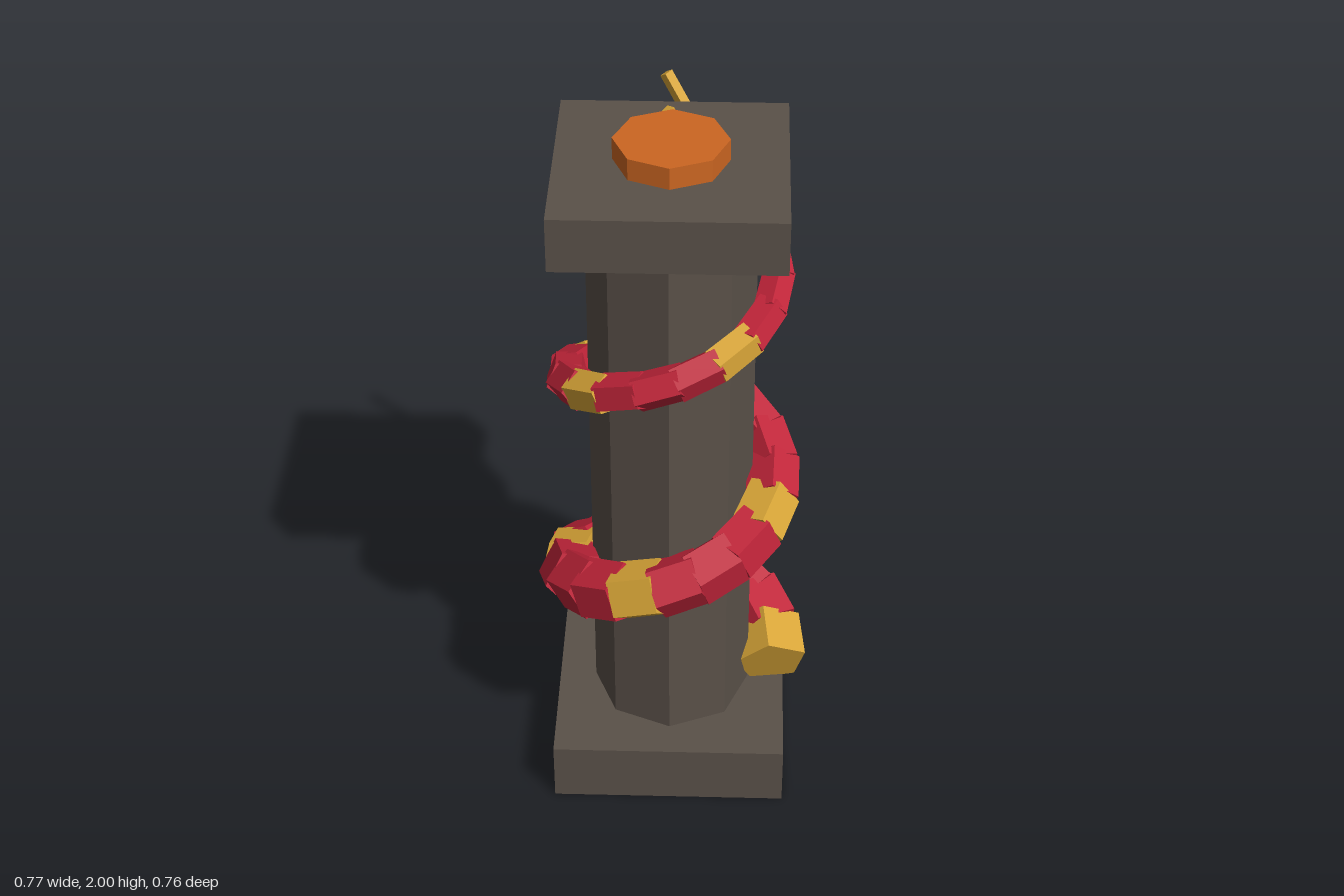
import * as THREE from 'three';

const flat = (name, color) => {
  const m = new THREE.MeshStandardMaterial({ color });
  m.name = name;
  return m;
};

export function createModel() {
  const stone = flat('dark stone', 0x5a5149);
  const crimson = flat('crimson scales', 0xc02439);
  const gold = flat('gold', 0xd8a537);
  const ember = flat('ember orange', 0xcc6622);

  const model = new THREE.Group();
  model.name = 'serpentPillar';
  const UP = new THREE.Vector3(0, 1, 0);
  const CX = -0.01, CZ = 0.01; // pillar axis

  const add = (parent, name, geometry, material, x, y, z) => {
    const g = geometry.index ? geometry.toNonIndexed() : geometry;
    g.computeVertexNormals(); // faceted
    const mesh = new THREE.Mesh(g, material);
    mesh.name = name;
    mesh.position.set(x, y, z);
    parent.add(mesh);
    return mesh;
  };

  // Straight faceted rod from a to b
  const rod = (parent, name, a, b, r0, r1, sides, material, stretch = 1) => {
    const dir = b.clone().sub(a);
    const geo = new THREE.CylinderGeometry(r1, r0, dir.length() * stretch, sides);
    const mid = a.clone().lerp(b, 0.5);
    const mesh = add(parent, name, geo, material, mid.x, mid.y, mid.z);
    mesh.quaternion.setFromUnitVectors(UP, dir.normalize());
    return mesh;
  };

  // Pillar
  add(model, 'base', new THREE.BoxGeometry(0.66, 0.18, 0.66), stone, CX, 0.09, CZ);
  add(model, 'column', new THREE.CylinderGeometry(0.225, 0.225, 1.63, 8), stone, CX, 0.985, CZ);
  add(model, 'capital', new THREE.BoxGeometry(0.6, 0.15, 0.6), stone, CX, 1.865, CZ);
  add(model, 'emberDisc', new THREE.CylinderGeometry(0.15, 0.15, 0.08, 8), ember, CX, 1.96, CZ);

  // Serpent body: tapering five-sided segments along a rising helix, every fourth one gold
  const serpent = new THREE.Group();
  serpent.name = 'serpent';
  model.add(serpent);
  const COUNT = 38, START = -2.8, STEP = 20.6;
  const helix = (i) => {
    const deg = START + i * STEP;
    const t = THREE.MathUtils.degToRad(deg);
    const r = THREE.MathUtils.lerp(0.293, 0.278, i / COUNT);
    return new THREE.Vector3(CX + r * Math.cos(t), 0.265 + (deg / 360) * 0.67, CZ - r * Math.sin(t));
  };
  const girth = (i) => THREE.MathUtils.lerp(0.108, 0.039, i / COUNT);
  for (let i = 0; i < COUNT; i++) {
    const isBand = i % 4 === 0;
    rod(serpent, isBand ? 'goldBand' : 'bodySegment', helix(i), helix(i + 1),
      girth(i), girth(i + 1), 5, isBand ? gold : crimson, 1.2);
  }

  // Head
  const head = add(serpent, 'head', new THREE.IcosahedronGeometry(0.115, 0), crimson, 0.09, 1.745, -0.267);
  head.scale.set(1.3, 1, 1);
  head.rotation.y = THREE.MathUtils.degToRad(165);

  // Horns
  const V = (x, y, z) => new THREE.Vector3(x, y, z);
  rod(serpent, 'outerHorn', V(0.075, 1.80, -0.307), V(-0.035, 1.987, -0.36), 0.018, 0.018, 4, gold);
  rod(serpent, 'innerHorn', V(0.06, 1.775, -0.185), V(-0.025, 1.987, -0.162), 0.018, 0.018, 4, gold);

  return model;
}
